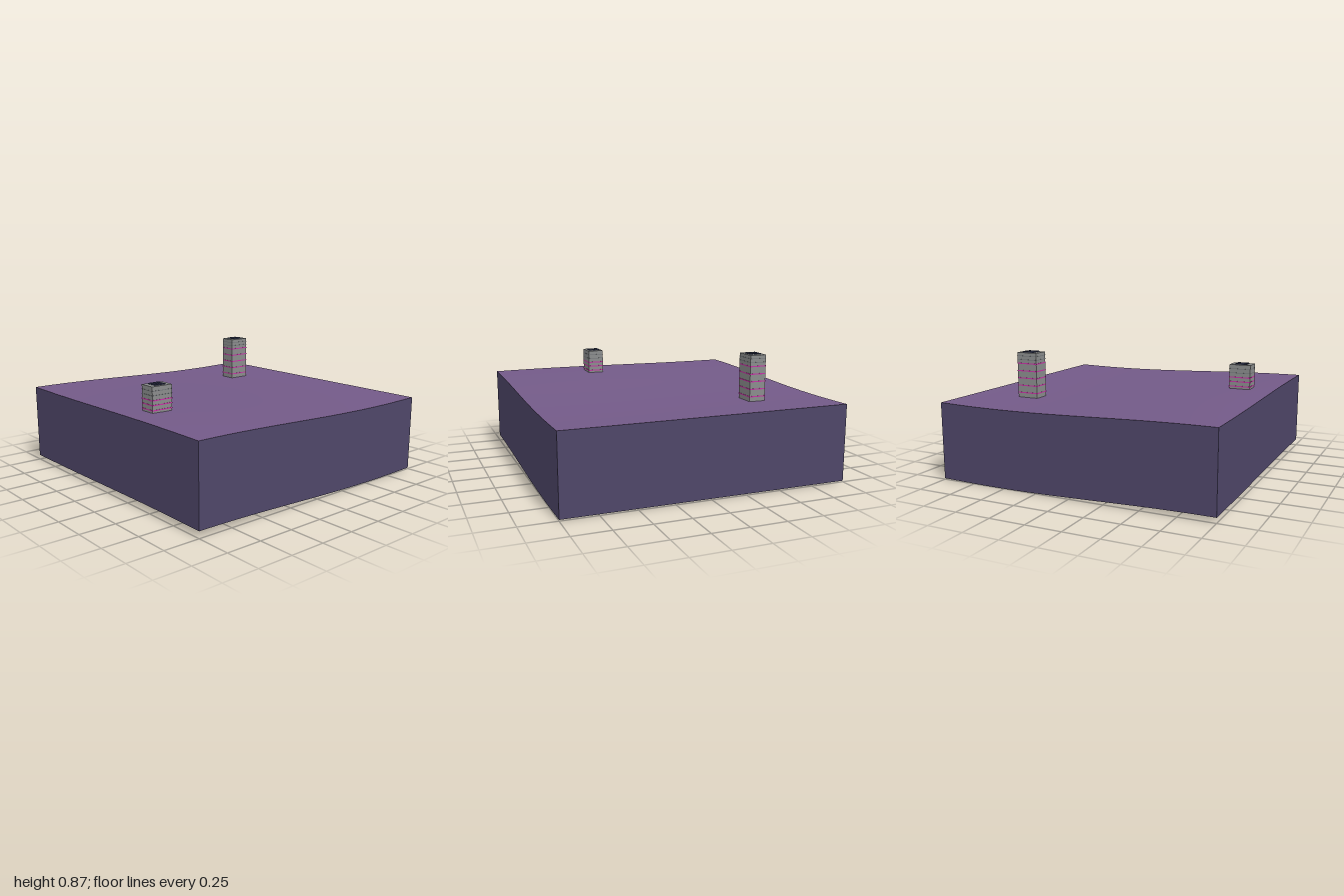
import * as THREE from 'three';

const DEPTH = 0.54;
// gently rolling ground
const ground = (x, z) =>
  DEPTH + 0.022 + 0.02 * Math.sin(2 * (z - 0.2)) + 0.007 * Math.sin(2.2 * x + 0.2) * (z + 1) / 2;

const mat = (name, color, side = THREE.FrontSide) => {
  const m = new THREE.MeshStandardMaterial({ color, side });
  m.name = name;
  return m;
};

export function createModel() {
  const model = new THREE.Group();
  const purple = mat('groundPurple', 0x735a88, THREE.DoubleSide);
  const indigo = mat('skirtIndigo', 0x4e4668, THREE.DoubleSide);
  const grey = mat('towerGrey', 0x8a8c8c);
  const magenta = mat('bandMagenta', 0xc434a4);
  const dimGrey = mat('seamGrey', 0x707478);
  const navy = mat('ventNavy', 0x3c4262);

  const add = (parent, name, geometry, material, x = 0, y = 0, z = 0) => {
    const mesh = new THREE.Mesh(geometry, material);
    mesh.name = name;
    mesh.position.set(x, y, z);
    parent.add(mesh);
  };

  // Ground surface
  const top = new THREE.PlaneGeometry(2, 2, 32, 32).rotateX(-Math.PI / 2);
  const p = top.attributes.position;
  for (let i = 0; i < p.count; i++) p.setY(i, ground(p.getX(i), p.getZ(i)));
  top.computeVertexNormals();
  add(model, 'ground', top, purple);

  // Four skirt walls whose lower edge follows the ground; the underside is open
  ['front', 'left', 'back', 'right'].forEach((side, k) => {
    const wall = new THREE.PlaneGeometry(2, DEPTH, 32, 1).translate(0, 0, 1).rotateY(k * Math.PI / 2);
    const w = wall.attributes.position;
    for (let i = 0; i < w.count; i++) {
      w.setY(i, ground(w.getX(i), w.getZ(i)) - (w.getY(i) < 0 ? DEPTH : 0));
    }
    add(model, side + 'Skirt', wall, indigo);
  });

  // Towers with bands around the walls and vents on the roof
  const W = 0.118, D = 0.156;
  const tower = (name, x, z, roof, bands, seams) => {
    const g = new THREE.Group();
    g.name = name;
    g.position.set(x, 0, z);
    const base = ground(x, z);
    add(g, 'towerBody', new THREE.BoxGeometry(W, roof - base, D), grey, 0, (roof + base) / 2, 0);
    const ring = (label, y, h, m) =>
      add(g, label, new THREE.BoxGeometry(W + 0.003, h, D + 0.003), m, 0, y, 0);
    bands.forEach(y => ring('lightBand', y, 0.008, magenta));
    seams.forEach(y => ring('wallSeam', y, 0.004, dimGrey));
    for (const dx of [-0.032, 0, 0.032]) {
      add(g, 'roofVent', new THREE.BoxGeometry(0.017, 0.006, 0.084), navy, dx, roof + 0.003, 0);
    }
    model.add(g);
  };
  tower('tallTower', -0.502, -0.584, 0.862, [0.575, 0.627, 0.68, 0.732, 0.785], [0.812, 0.838]);
  tower('shortTower', 0.248, 0.748, 0.76, [0.602, 0.636, 0.668], [0.7, 0.73]);

  return model;
}
